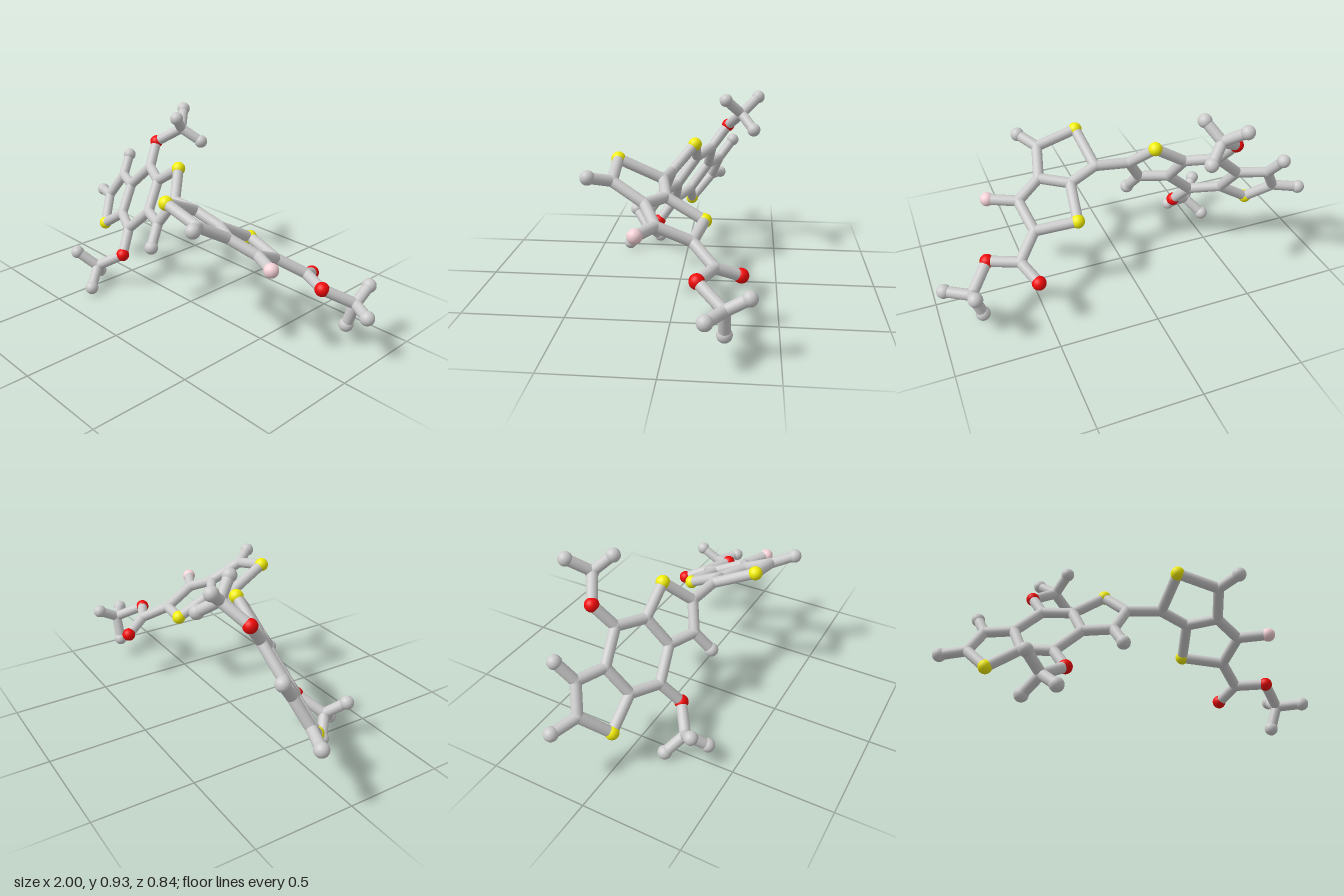
import * as THREE from 'three';

const BOND_RADIUS = 0.027;
const ELEMENTS = {
  C: { name: 'carbonJoint', radius: 0.028, color: 0xcccccc },
  H: { name: 'hydrogenBall', radius: 0.035, color: 0xcccccc },
  S: { name: 'sulfurBall', radius: 0.035, color: 0xf2ee08 },
  O: { name: 'oxygenBall', radius: 0.035, color: 0xf20a0a },
  F: { name: 'fluorineBall', radius: 0.035, color: 0xf6d3d8 },
};
for (const e of Object.values(ELEMENTS)) {
  e.geometry = new THREE.SphereGeometry(e.radius, 24, 16);
  e.material = new THREE.MeshStandardMaterial({ color: e.color });
}
const bondGeometry = new THREE.CylinderGeometry(BOND_RADIUS, BOND_RADIUS, 1, 18, 1, true);
const UP = new THREE.Vector3(0, 1, 0);

function addAtom(group, element, position) {
  const { name, geometry, material } = ELEMENTS[element];
  const ball = new THREE.Mesh(geometry, material);
  ball.name = name;
  ball.position.copy(position);
  group.add(ball);
  return position;
}

function addBond(group, a, b) {
  const stick = new THREE.Mesh(bondGeometry, ELEMENTS.C.material);
  const along = b.clone().sub(a);
  stick.name = 'bond';
  stick.position.lerpVectors(a, b, 0.5);
  stick.scale.y = along.length();
  stick.quaternion.setFromUnitVectors(UP, along.normalize());
  group.add(stick);
}

// Bonds each pair of neighbours in a list of points
function addChain(group, points, closed = false) {
  points.forEach((p, i) => {
    if (i + 1 < points.length) addBond(group, p, points[i + 1]);
    else if (closed) addBond(group, p, points[0]);
  });
}

// Oxygen, carbon and three hydrogens branching from an anchor atom
function addMethoxy(parent, name, anchor, [oxygen, carbon, ...hydrogens]) {
  const group = new THREE.Group();
  group.name = name;
  const o = addAtom(group, 'O', new THREE.Vector3(...oxygen));
  const c = addAtom(group, 'C', new THREE.Vector3(...carbon));
  addChain(group, [anchor, o, c]);
  for (const h of hydrogens) addBond(group, c, addAtom(group, 'H', new THREE.Vector3(...h)));
  parent.add(group);
}

export function createModel() {
  const model = new THREE.Group();
  model.name = 'molecule';

  // Three-ring core: one half, in its tilted plane, is turned about the centre to give the other
  const core = new THREE.Group();
  core.name = 'threeRingCore';
  model.add(core);
  const centre = new THREE.Vector3(-0.449, 0.461, -0.031);
  const halves = [1, -1].map((sign) => {
    const at = (x, y) => new THREE.Vector3(x, y, 0.39 * x - 0.612 * y).multiplyScalar(sign).add(centre);
    const half = {
      top: addAtom(core, 'C', at(-0.024, 0.149)),
      fusedUpper: addAtom(core, 'C', at(0.126, 0.126)),
      fusedLower: addAtom(core, 'C', at(0.163, -0.016)),
      sulfur: addAtom(core, 'S', at(0.29, 0.234)),
      tip: addAtom(core, 'C', at(0.385, 0.112)),
      side: addAtom(core, 'C', at(0.309, -0.019)),
    };
    addChain(core, [half.top, half.fusedUpper, half.sulfur, half.tip, half.side, half.fusedLower, half.fusedUpper]);
    addBond(core, half.side, addAtom(core, 'H', at(0.345, -0.122)));
    return half;
  });
  const [right, left] = halves;
  addBond(core, right.fusedLower, left.top);
  addBond(core, left.fusedLower, right.top);
  addBond(core, left.tip, addAtom(core, 'H', new THREE.Vector3(-0.965, 0.335, -0.16)));

  addMethoxy(model, 'upperMethoxy', right.top, [
    [-0.52, 0.727, -0.22], [-0.395, 0.815, -0.295],
    [-0.473, 0.896, -0.383], [-0.34, 0.896, -0.212], [-0.31, 0.745, -0.363],
  ]);
  addMethoxy(model, 'lowerMethoxy', left.top, [
    [-0.375, 0.197, 0.157], [-0.493, 0.117, 0.243],
    [-0.43, 0.037, 0.333], [-0.57, 0.037, 0.174], [-0.572, 0.197, 0.316],
  ]);

  // Two fused rings lying in a second, flatter plane
  const pair = new THREE.Group();
  pair.name = 'twoRingUnit';
  model.add(pair);
  const atom = (element, x, z) =>
    addAtom(pair, element, new THREE.Vector3(x, 0.571 - 0.245 * x + 0.517 * z, z));
  const link = atom('C', 0.112, 0.073);
  const fusedA = atom('C', 0.254, 0.043);
  const fusedB = atom('C', 0.393, 0.128);
  const outer = atom('C', 0.352, 0.283);
  const esterRoot = atom('C', 0.489, -0.1);
  const fluorineRoot = atom('C', 0.52, 0.064);
  addChain(pair, [link, fusedA, fusedB, outer, atom('S', 0.142, 0.288)], true);
  addChain(pair, [fusedB, fluorineRoot, esterRoot, atom('S', 0.28, -0.142), fusedA]);
  addBond(pair, outer, atom('H', 0.425, 0.382));
  addBond(pair, fluorineRoot, atom('F', 0.66, 0.133));
  addBond(model, right.tip, link);

  // Ester tail
  const ester = new THREE.Group();
  ester.name = 'esterTail';
  model.add(ester);
  const carbonyl = addAtom(ester, 'C', new THREE.Vector3(0.594, 0.32, -0.207));
  addBond(ester, esterRoot, carbonyl);
  addBond(ester, carbonyl, addAtom(ester, 'O', new THREE.Vector3(0.538, 0.265, -0.323)));
  addMethoxy(ester, 'esterMethoxy', carbonyl, [
    [0.74, 0.317, -0.139], [0.847, 0.239, -0.26],
    [0.845, 0.297, -0.363], [0.963, 0.24, -0.187], [0.806, 0.11, -0.261],
  ]);

  return model;
}
